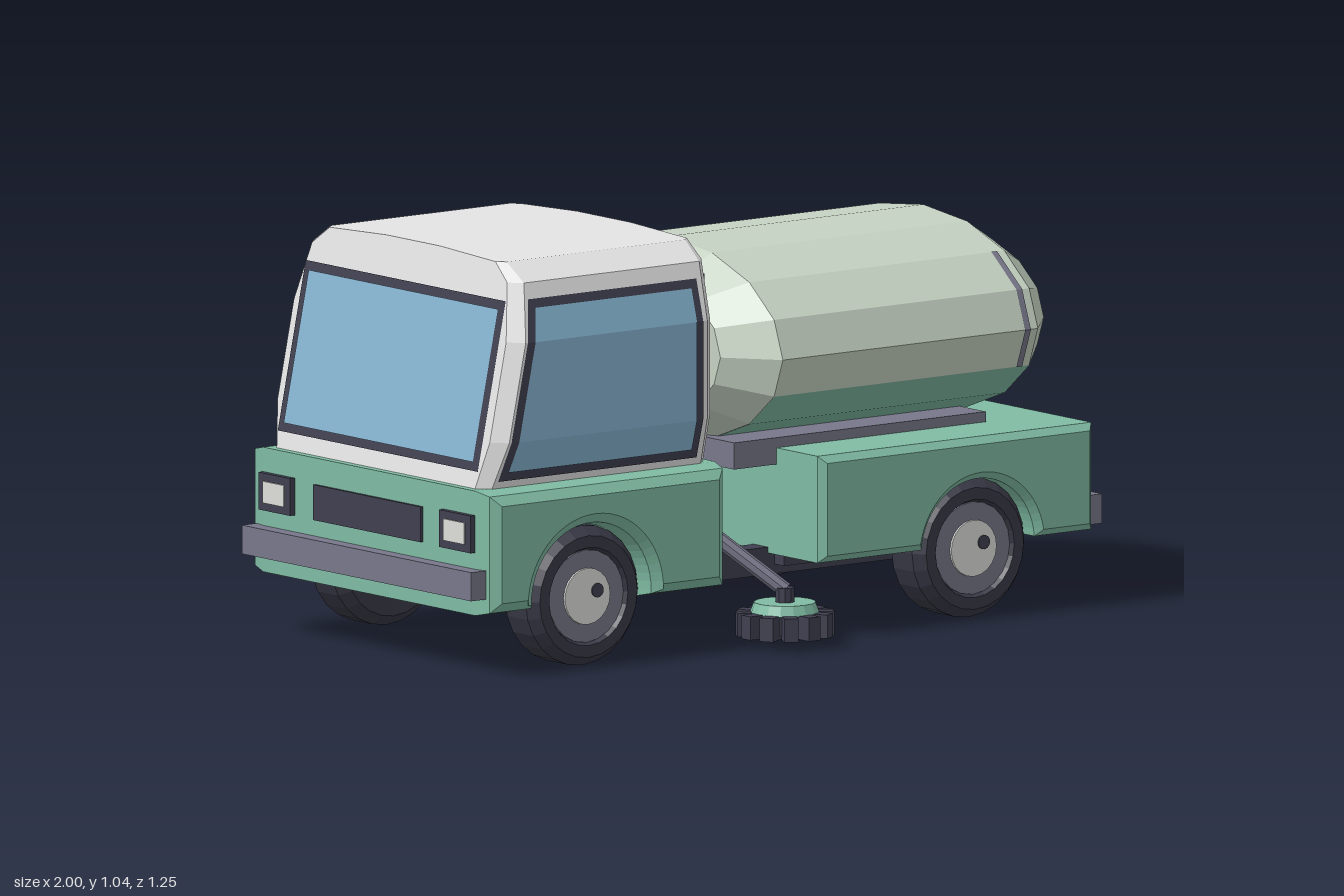
import * as THREE from 'three';

const mat = (name, color) => new THREE.MeshStandardMaterial({ name, color, flatShading: true, side: THREE.DoubleSide });

export function createModel() {
  const M = {
    green: mat('body green', 0x80bca4),
    tank: mat('pale tank green', 0xc5d2c2),
    cab: mat('cab grey', 0xe4e4e4),
    glass: mat('window blue', 0x86b4d0),
    dark: mat('dark trim', 0x3f3f50),
    steel: mat('bumper grey', 0x77778a),
    tyre: mat('tyre black', 0x383846),
    hub: mat('hub grey', 0xdededa),
    red: mat('tail light red', 0xb52c59),
  };
  const model = new THREE.Group();
  model.name = 'streetSweeper';

  const add = (name, geo, m, x = 0, y = 0, z = 0, parent = model) => {
    const mesh = new THREE.Mesh(geo, m);
    mesh.name = name;
    mesh.position.set(x, y, z);
    parent.add(mesh);
    return mesh;
  };
  // box given by its extents
  const box = (name, m, x0, x1, y0, y1, z0, z1) =>
    add(name, new THREE.BoxGeometry(x1 - x0, y1 - y0, z1 - z0), m, (x0 + x1) / 2, (y0 + y1) / 2, (z0 + z1) / 2);
  // triangles from a flat list of points
  const fromPoints = (pts) => {
    const g = new THREE.BufferGeometry();
    g.setAttribute('position', new THREE.Float32BufferAttribute(pts.flat(), 3));
    g.computeVertexNormals();
    return g;
  };
  // ribbon of quads through rows of two points
  const strip = (rows) => {
    const pts = [];
    for (let i = 0; i + 1 < rows.length; i++) {
      const [a, b] = rows[i], [d, c] = rows[i + 1];
      pts.push(a, b, c, a, c, d);
    }
    return fromPoints(pts);
  };

  // chassis
  box('chassis', M.dark, -0.85, 0.89, 0.145, 0.205, -0.28, 0.28);
  box('chassisKeel', M.dark, -0.8, 0.85, 0.137, 0.146, -0.17, 0.17);
  for (const [x0, x1] of [[-0.82, -0.22], [0.11, 0.86]]) box('chassisSkirt', M.dark, x0, x1, 0.17, 0.2, -0.32, 0.32);
  for (const s of [-1, 1]) box('chassisRail', M.dark, -0.3, 0.2, 0.19, 0.215, s * 0.25 - 0.03, s * 0.25 + 0.03);

  // bevelled bodies with wheel arches
  const axleY = 0.185, archR = 0.18;
  const archedBody = (name, x0, x1, y0, y1, cx, bevel, thickness, segments) => {
    const a = Math.asin(Math.max(0, (y0 - axleY) / archR));
    const dx = archR * Math.cos(a);
    const s = new THREE.Shape();
    s.moveTo(x0, y0);
    s.lineTo(cx - dx, y0);
    s.absarc(cx, axleY, archR, Math.PI - a, a, true);
    s.lineTo(cx + dx, y0);
    s.lineTo(x1, y0);
    s.lineTo(x1, y1);
    s.lineTo(x0, y1);
    s.closePath();
    const geo = new THREE.ExtrudeGeometry(s, {
      depth: 1 - 2 * thickness, bevelEnabled: true, bevelSegments: segments,
      bevelSize: bevel, bevelThickness: thickness, bevelOffset: -bevel, curveSegments: 14,
    });
    add(name, geo, M.green, 0, 0, -0.5 + thickness);
    box(name + 'Core', M.green, x0 + 0.03, x1 - 0.03, y0 + 0.005, y1 - 0.02, -0.32, 0.32);
  };
  archedBody('cabBody', -0.96, -0.2, 0.165, 0.482, -0.627, 0.035, 0.065, 2);
  archedBody('rearBody', 0.09, 0.96, 0.2, 0.472, 0.6, 0.018, 0.018, 1);

  // cab shell lofted from chamfered level sections: height, half width, chamfer
  const levels = [[0.475, 0.435, 0.03], [0.6, 0.47, 0.035], [0.85, 0.47, 0.035],
    [0.995, 0.43, 0.03], [1.04, 0.36, 0.02], [1.05, 0.12, 0.01]];
  const backX = -0.215;
  const frontX = (y) => -0.94 + ((y - 0.475) / 0.575) * 0.12;
  const halfW = (y) => {
    const i = Math.max(1, levels.findIndex((l) => l[0] >= y));
    const [y0, w0] = levels[i - 1], [y1, w1] = levels[i];
    return w0 + ((y - y0) / (y1 - y0)) * (w1 - w0);
  };
  const rings = levels.map(([y, w, c]) => {
    const f = frontX(y), b = backX;
    return [[b, w - c], [b, c - w], [b - c, -w], [f + c, -w], [f, c - w], [f, w - c], [f + c, w], [b - c, w]]
      .map(([x, z]) => [x, y, z]);
  });
  const shell = [];
  for (let k = 0; k + 1 < rings.length; k++) {
    for (let i = 0; i < 8; i++) {
      const j = (i + 1) % 8, lo = rings[k], hi = rings[k + 1];
      shell.push(lo[i], lo[j], hi[j], lo[i], hi[j], hi[i]);
    }
  }
  const top = rings[rings.length - 1];
  for (let i = 1; i < 7; i++) shell.push(top[0], top[i], top[i + 1]);
  add('cabShell', fromPoints(shell), M.cab);

  // windows: dark surround, then glass slightly inset and raised
  for (const [name, m, inset, off] of [['Frame', M.dark, 0, 0.003], ['Glass', M.glass, 0.022, 0.006]]) {
    const rows = (lo, hi) => [lo + inset, 0.6, 0.85, hi - inset];
    for (const s of [-1, 1]) {
      add('sideWindow' + name, strip(rows(0.5, 0.955).map((y) => {
        const z = s * (halfW(y) + off);
        return [[frontX(y) + 0.04 + inset, y, z], [-0.265 - inset, y, z]];
      })), m);
    }
    const z = 0.41 - inset;
    add('windscreen' + name, strip([0.525 + inset, 0.95 - inset].map((y) => [[frontX(y) - off, y, -z], [frontX(y) - off, y, z]])), m);
    add('rearWindow' + name, strip([0.56 + inset, 0.957 - inset].map((y) => [[backX + off, y, -z], [backX + off, y, z]])), m);
  }

  // grille, lights and bumpers
  box('grille', M.dark, -0.968, -0.955, 0.325, 0.415, -0.22, 0.22);
  box('frontBumper', M.steel, -1, -0.95, 0.21, 0.283, -0.47, 0.47);
  box('rearBumper', M.steel, 0.95, 1, 0.21, 0.285, -0.475, 0.475);
  for (const s of [-1, 1]) {
    const z = s * 0.37;
    box('headlightSurround', M.dark, -0.975, -0.955, 0.325, 0.42, z - 0.065, z + 0.065);
    box('headlight', M.hub, -0.979, -0.974, 0.345, 0.4, z - 0.043, z + 0.043);
    box('tailLight', M.red, 0.95, 0.975, 0.315, 0.395, s * 0.38 - 0.035, s * 0.38 + 0.035);
  }

  // tank on its saddle
  box('tankSaddle', M.steel, -0.045, 0.755, 0.43, 0.498, -0.315, 0.315);
  const tankProfile = [[0, -0.11], [0.73, -0.11], [1, -0.01], [1, 0.8], [0.73, 0.917], [0, 0.917]]
    .map(([r, y]) => new THREE.Vector2(r, y));
  const tankGeo = new THREE.LatheGeometry(tankProfile, 16);
  tankGeo.rotateZ(-Math.PI / 2);
  tankGeo.scale(1, 0.255, 0.47);
  add('tank', tankGeo, M.tank, 0, 0.725, 0);
  // thin band over tank facets, from side step k0 down to k1
  const tankBand = (name, m, x0, x1, k0, k1, s, grow) => {
    const rows = [];
    for (let k = k0; k >= k1; k--) {
      const a = (k * Math.PI) / 8;
      const y = 0.725 + 0.255 * grow * Math.sin(a), z = s * 0.47 * grow * Math.cos(a);
      rows.push([[x0, y, z], [x1, y, z]]);
    }
    add(name, strip(rows), m);
  };
  tankBand('tankUnderside', M.green, -0.01, 0.8, -1, -7, 1, 1.004);
  for (const s of [-1, 1]) tankBand('tankStrap', M.steel, 0.757, 0.775, 2, -1, s, 1.008);

  // wheels
  const tyreProfile = [[0, -0.065], [0.152, -0.07], [0.178, -0.042], [0.178, 0.042], [0.155, 0.07], [0.125, 0.07], [0.115, 0.05]]
    .map(([r, y]) => new THREE.Vector2(r, y));
  const disc = (r, h) => new THREE.CylinderGeometry(r, r, h, 20).rotateX(Math.PI / 2);
  for (const x of [-0.627, 0.6]) {
    for (const s of [-1, 1]) {
      const wheel = new THREE.Group();
      wheel.name = 'wheel';
      wheel.position.set(x, axleY, s * 0.4);
      model.add(wheel);
      const tyreGeo = new THREE.LatheGeometry(tyreProfile, 24);
      tyreGeo.rotateX((s * Math.PI) / 2);
      add('tyre', tyreGeo, M.tyre, 0, 0, 0, wheel);
      add('rim', disc(0.118, 0.06), M.steel, 0, 0, s * 0.03, wheel);
      add('hub', disc(0.072, 0.06), M.hub, 0, 0, s * 0.036, wheel);
      add('valve', disc(0.018, 0.02), M.dark, 0.03, 0.013, s * 0.06, wheel);
    }
  }

  // side brushes on swing arms
  for (const s of [-1, 1]) {
    const brush = new THREE.Group();
    brush.name = 'sideBrush';
    brush.position.set(-0.027, 0, s * 0.5);
    model.add(brush);
    add('brushCore', new THREE.CylinderGeometry(0.08, 0.08, 0.05, 16), M.dark, 0, 0.066, 0, brush);
    for (let i = 0; i < 12; i++) {
      const a = (i / 12) * Math.PI * 2;
      const tuft = add('bristle', new THREE.BoxGeometry(0.06, 0.06, 0.036), M.dark, 0.093 * Math.cos(a), 0.062, -0.093 * Math.sin(a), brush);
      tuft.rotation.y = a;
    }
    add('brushCap', new THREE.CylinderGeometry(0.078, 0.088, 0.027, 16), M.green, 0, 0.103, 0, brush);
    add('brushPivot', new THREE.CylinderGeometry(0.025, 0.025, 0.04, 10), M.dark, 0, 0.133, 0, brush);
    const path = new THREE.LineCurve3(new THREE.Vector3(-0.18, 0.315, s * 0.33), new THREE.Vector3(-0.025, 0.145, s * 0.5));
    add('brushArm', new THREE.TubeGeometry(path, 1, 0.02, 8), M.steel);
  }
  return model;
}
